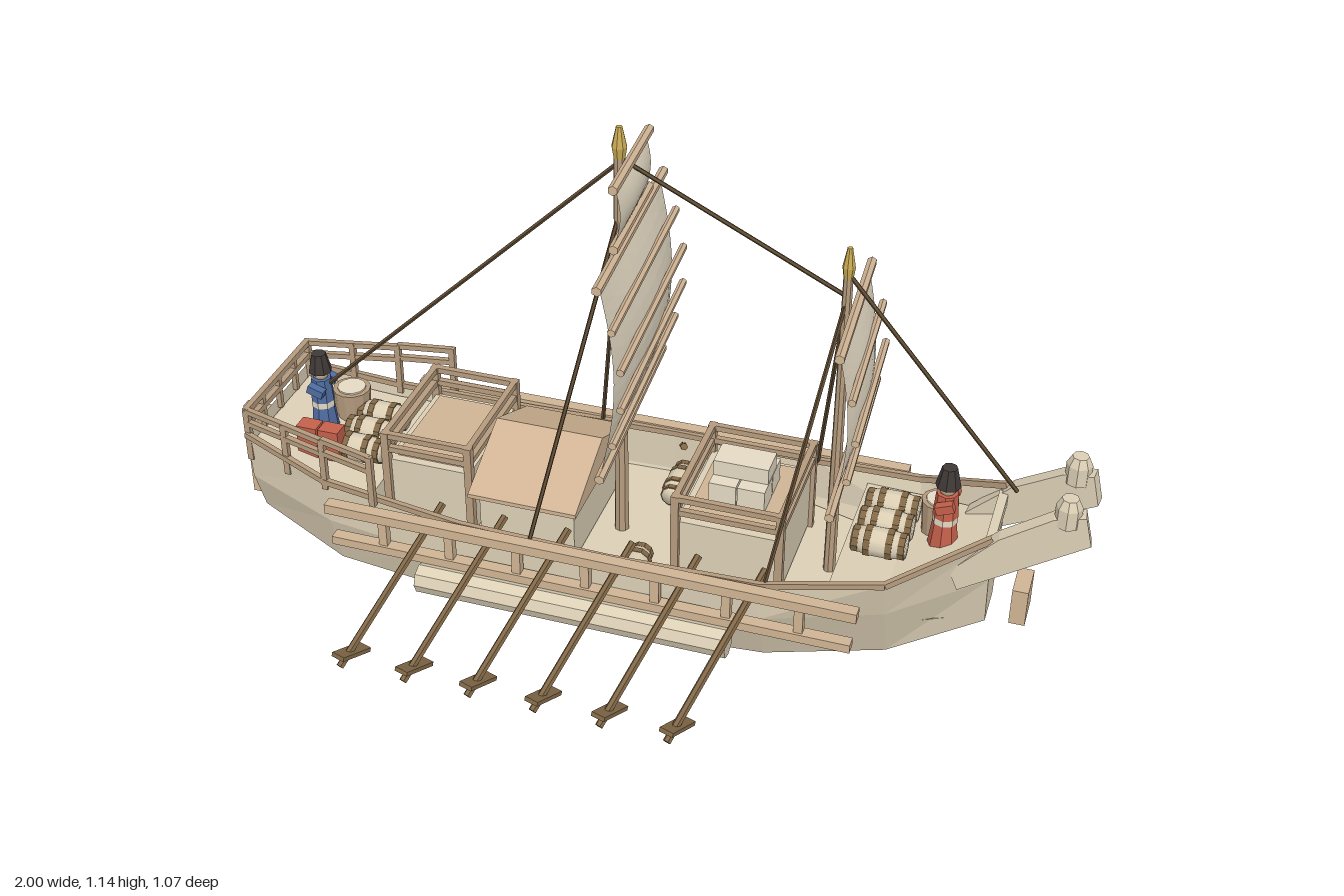
import * as THREE from 'three';

const mat = (name, color, extra = {}) => Object.assign(new THREE.MeshStandardMaterial({ color, ...extra }), { name });

export function createModel() {
  const ship = new THREE.Group();
  ship.name = 'sailingShip';
  const hullWood = mat('paleWood', 0xdccfb5, { side: THREE.DoubleSide });
  const canvas = mat('canvas', 0xe4d9c3, { side: THREE.DoubleSide });
  const tan = mat('tanWood', 0xd0b494);
  const spar = mat('sparWood', 0xb59b7e);
  const oarWood = mat('oarWood', 0x806746);
  const dark = mat('darkRope', 0x5f4b33);
  const gold = mat('gold', 0xcbab55);
  const black = mat('black', 0x3f3937);
  const red = mat('redCloth', 0xc4604a);
  const blue = mat('blueCloth', 0x4f6ca0);

  const V = (x, y, z) => new THREE.Vector3(x, y, z);
  const add = (name, geo, m, x = 0, y = 0, z = 0, parent = ship) => {
    const mesh = new THREE.Mesh(geo, m);
    mesh.name = name;
    mesh.position.set(x, y, z);
    parent.add(mesh);
    return mesh;
  };
  const box = (name, m, x0, x1, y0, y1, z0, z1, parent) =>
    add(name, new THREE.BoxGeometry(x1 - x0, y1 - y0, z1 - z0), m, (x0 + x1) / 2, (y0 + y1) / 2, (z0 + z1) / 2, parent);
  // Square or wide beam from a to b
  const beam = (name, m, a, b, w, h = w, parent) => {
    const mesh = add(name, new THREE.BoxGeometry(w, h, a.distanceTo(b)), m, 0, 0, 0, parent);
    mesh.position.copy(a).add(b).multiplyScalar(0.5);
    mesh.lookAt(b);
    return mesh;
  };
  // Round pole from a to b
  const pole = (name, m, a, b, r0, r1 = r0, sides = 8, parent = ship) => {
    const mesh = add(name, new THREE.CylinderGeometry(r1, r0, a.distanceTo(b), sides).toNonIndexed(), m, 0, 0, 0, parent);
    mesh.geometry.computeVertexNormals();
    mesh.position.copy(a).add(b).multiplyScalar(0.5);
    mesh.quaternion.setFromUnitVectors(V(0, 1, 0), b.clone().sub(a).normalize());
    return mesh;
  };
  // Faceted skin through rows of points
  const loft = (rows) => {
    const p = [];
    for (let i = 0; i + 1 < rows.length; i++)
      for (let j = 0; j + 1 < rows[i].length; j++) {
        const [a, b, c, d] = [rows[i][j], rows[i + 1][j], rows[i + 1][j + 1], rows[i][j + 1]];
        for (const v of [a, b, c, a, c, d]) p.push(v.x, v.y, v.z);
      }
    const g = new THREE.BufferGeometry();
    g.setAttribute('position', new THREE.Float32BufferAttribute(p, 3));
    g.computeVertexNormals();
    return g;
  };

  // Hull stations: x, then y and half width at the bottom, chine and rim
  const stations = [
    [-0.91, 0.07, 0.11, 0.18, 0.15, 0.305, 0.16],
    [-0.69, 0.005, 0.165, 0.14, 0.205, 0.255, 0.21],
    [-0.35, 0, 0.2, 0.13, 0.24, 0.235, 0.24],
    [0, 0, 0.21, 0.13, 0.25, 0.235, 0.25],
    [0.34, 0, 0.18, 0.14, 0.235, 0.238, 0.24],
    [0.6, 0.025, 0.115, 0.17, 0.17, 0.272, 0.2],
    [0.8, 0.11, 0.05, 0.24, 0.075, 0.37, 0.1],
  ];
  const section = (s, side) => [V(s[0], s[1], s[2] * side), V(s[0], s[3], s[4] * side), V(s[0], s[5], s[6] * side)];
  for (const side of [1, -1]) {
    add('hullSide', loft(stations.map((s) => (side > 0 ? section(s, side) : section(s, side).reverse()))), hullWood);
    for (let i = 0; i < 6; i++)
      beam('gunwale', spar, section(stations[i], side)[2], section(stations[i + 1], side)[2], 0.012, 0.014);
  }
  // End walls: y and half width from bottom to top
  const transom = (name, x, dir, rows) => add(name, loft(rows.map(([y, z]) => [V(x, y, z * dir), V(x, y, -z * dir)])), hullWood);
  transom('sternTransom', -0.91, 1, [[0.07, 0.11], [0.18, 0.15], [0.305, 0.16]]);
  transom('bowTransom', 0.8, -1, [[0.11, 0.05], [0.24, 0.075], [0.34, 0.094]]);

  // Low main deck and raised end decks with bulkheads: x, y, half width
  const deck = (name, rows) => add(name, loft(rows.map(([x, y, z]) => [V(x, y, -z), V(x, y, z)])), hullWood);
  deck('mainDeck', [[-0.89, 0.125, 0.128], [-0.69, 0.125, 0.198], [-0.35, 0.125, 0.234], [0, 0.125, 0.245],
    [0.34, 0.125, 0.224], [0.6, 0.125, 0.146], [0.79, 0.125, 0.05]]);
  deck('sternDeck', [[-0.905, 0.275, 0.153], [-0.69, 0.225, 0.202], [-0.59, 0.22, 0.212], [-0.585, 0.125, 0.204]]);
  deck('bowDeck', [[0.47, 0.125, 0.182], [0.475, 0.225, 0.208], [0.6, 0.24, 0.183], [0.795, 0.305, 0.084]]);
  box('bowCrossBeam', hullWood, 0.785, 0.805, 0.33, 0.36, -0.092, 0.092);
  box('rudder', tan, -1, -0.9, 0.02, 0.27, -0.013, 0.013);
  box('bowPlate', tan, 0.85, 0.885, 0.11, 0.2, -0.042, 0.042);

  // Bow horn profile, swept forward and slightly inward
  const horn = new THREE.Shape([[0, 0], [-0.02, 0.048], [0.075, 0.145], [0.18, 0.212], [0.245, 0.225], [0.262, 0.155]]
    .map((p) => new THREE.Vector2(...p)));
  const hornGeo = new THREE.ExtrudeGeometry(horn, { depth: 0.034, bevelEnabled: false }).translate(0, 0, -0.017);
  for (const s of [1, -1]) {
    add('bowHorn', hornGeo, hullWood, 0.738, 0.235, 0.104 * s).rotation.y = 0.12 * s;
    pole('hornKnob', hullWood, V(0.945, 0.43, 0.078 * s), V(0.945, 0.475, 0.078 * s), 0.028, 0.028);
    pole('hornCap', hullWood, V(0.945, 0.475, 0.078 * s), V(0.945, 0.495, 0.078 * s), 0.028, 0.018);
    // Side rails, posts and float
    box('upperRail', tan, -0.66, 0.56, 0.222, 0.246, 0.267 * s - 0.014, 0.267 * s + 0.014);
    box('lowerRail', tan, -0.65, 0.55, 0.136, 0.157, 0.264 * s - 0.014, 0.264 * s + 0.014);
    for (let i = 0; i < 7; i++)
      box('railPost', tan, -0.535 + i * 0.16, -0.515 + i * 0.16, 0.15, 0.23, 0.262 * s - 0.01, 0.262 * s + 0.01);
    pole('sideFloat', hullWood, V(-0.43, 0.108, 0.293 * s), V(0.29, 0.108, 0.293 * s), 0.034);
    // Oars
    for (let i = 0; i < 6; i++) {
      const x = -0.525 + i * 0.15;
      pole('oarShaft', oarWood, V(x + 0.115, 0.243, 0.19 * s), V(x, 0.01, 0.525 * s), 0.009, 0.009, 6);
      beam('oarBlade', oarWood, V(x + 0.025, 0.012, 0.45 * s), V(x, 0.042, 0.53 * s), 0.034, 0.01);
    }
    // Stern side railing
    const a = V(-0.905, 0, 0.155 * s), c = V(-0.69, 0, 0.208 * s), b = V(-0.56, 0, 0.236 * s);
    for (const [p, q, posts] of [[a, c, [0, 0.5]], [c, b, [0, 1]]]) {
      for (const y of [0.335, 0.368])
        beam('sternRail', spar, p.clone().setY(y), q.clone().setY(y - 0.004), 0.013);
      for (const t of posts) {
        const v = p.clone().lerp(q, t);
        box('sternRailPost', spar, v.x - 0.007, v.x + 0.007, 0.235, 0.37, v.z - 0.007, v.z + 0.007);
      }
    }
  }
  for (const y of [0.335, 0.368]) box('sternCrossRail', spar, -0.912, -0.898, y - 0.007, y + 0.007, -0.16, 0.16);
  for (const z of [-0.08, 0, 0.08]) box('sternCrossPost', spar, -0.911, -0.899, 0.28, 0.37, z - 0.006, z + 0.006);

  // Railed deckhouses with a hatch on the roof
  const deckhouse = (x0, x1, top, railTop) => {
    const g = new THREE.Group();
    g.name = 'deckhouse';
    ship.add(g);
    box('houseWalls', hullWood, x0 + 0.008, x1 - 0.008, 0.13, top, -0.14, 0.14, g);
    box('houseHatch', tan, x0 + 0.025, x1 - 0.025, top, top + 0.01, -0.12, 0.12, g);
    for (const y of [railTop - 0.042, railTop - 0.007]) {
      for (const z of [-0.143, 0.143]) box('houseRail', spar, x0, x1, y - 0.007, y + 0.007, z - 0.007, z + 0.007, g);
      for (const x of [x0 + 0.007, x1 - 0.007]) box('houseRail', spar, x - 0.007, x + 0.007, y - 0.007, y + 0.007, -0.15, 0.15, g);
    }
    for (const x of [x0 + 0.007, x1 - 0.007])
      for (const z of [-0.143, 0.143]) box('housePost', spar, x - 0.009, x + 0.009, 0.105, railTop, z - 0.009, z + 0.009, g);
  };
  deckhouse(-0.57, -0.355, 0.3, 0.375);
  deckhouse(0.115, 0.365, 0.285, 0.357);

  // Gabled midship cabin
  box('cabinWalls', hullWood, -0.335, -0.11, 0.13, 0.285, -0.155, 0.155);
  const gable = new THREE.Shape([[-0.185, 0.27], [0.185, 0.27], [0.185, 0.28], [0, 0.365], [-0.185, 0.28]].map((p) => new THREE.Vector2(...p)));
  add('cabinRoof', new THREE.ExtrudeGeometry(gable, { depth: 0.255, bevelEnabled: false }), tan, -0.35).rotation.y = Math.PI / 2;

  // Crates stacked on the fore deckhouse
  for (const x of [0.205, 0.27])
    for (const z of [-0.035, 0.035]) box('crate', canvas, x - 0.031, x + 0.031, 0.29, 0.35, z - 0.033, z + 0.033);
  box('topCrate', canvas, 0.175, 0.3, 0.35, 0.388, -0.035, 0.035);

  // Banded barrels, lying along x or z
  const barrel = (x, y, z, len, r, alongZ) => {
    const g = new THREE.Group();
    g.name = 'barrel';
    g.position.set(x, y, z);
    if (alongZ) g.rotation.y = Math.PI / 2;
    ship.add(g);
    const prof = [[0, -0.5], [0.78, -0.5], [1, -0.17], [1, 0.17], [0.78, 0.5], [0, 0.5]];
    const body = add('barrelBody', new THREE.LatheGeometry(prof.map(([u, v]) => new THREE.Vector2(u * r, v * len)), 10), hullWood, 0, 0, 0, g);
    body.rotation.z = Math.PI / 2;
    for (const [k, w] of [[-0.42, 0.9], [-0.2, 1.04], [0.2, 1.04], [0.42, 0.9]])
      pole('barrelBand', oarWood, V(k * len - 0.007, 0, 0), V(k * len + 0.007, 0, 0), r * w, r * w, 10, g);
  };
  for (const z of [-0.07, 0, 0.07]) {
    barrel(-0.67, 0.26, z, 0.12, 0.034);
    barrel(0.56, 0.282, z, 0.12, 0.034);
  }
  for (const z of [-0.165, 0.165]) barrel(0.035, 0.155, z, 0.12, 0.03, true);
  for (const [x, y, z, r] of [[-0.755, 0.23, -0.08, 0.045], [0.665, 0.25, -0.05, 0.041]]) {
    pole('basket', spar, V(x, y, z), V(x, y + 0.085, z), r * 0.88, r, 12);
    pole('basketFill', canvas, V(x, y + 0.08, z), V(x, y + 0.089, z), r * 0.75, r * 0.75, 12);
  }
  for (const x of [-0.78, -0.725]) box('redChest', red, x - 0.025, x + 0.025, 0.24, 0.32, 0.075, 0.115);

  // Masts, finials and sails
  const mast = (x, top, r) => {
    pole('mast', spar, V(x, 0.11, 0), V(x, top, 0), r, r * 0.75, 8);
    pole('finialBase', gold, V(x, top - 0.01, 0), V(x, top + 0.025, 0), r * 0.65, r, 8);
    pole('finialTip', gold, V(x, top + 0.025, 0), V(x, top + 0.07, 0), r, r * 0.4, 8);
  };
  mast(-0.05, 1.075, 0.017);
  mast(0.44, 0.88, 0.014);
  const sail = (x, y0, y1, half, bars, bulge, overhang) => {
    const g = new THREE.Group();
    g.name = 'sail';
    g.position.x = x;
    g.rotation.y = 0.06;
    ship.add(g);
    const belly = (t, k) => bulge * Math.sin(Math.PI * t) * (1 - 0.4 * k * k);
    const rows = [];
    for (let i = 0; i <= 16; i++) {
      const t = i / 16;
      rows.push([-4, -3, -2, -1, 0, 1, 2, 3, 4].map((k) => V(belly(t, k / 4), y0 + (y1 - y0) * t, (k / 4) * half)));
    }
    add('sailCloth', loft(rows), canvas, 0, 0, 0, g);
    for (let i = 0; i < bars; i++) {
      const t = i / (bars - 1), y = y0 + (y1 - y0) * t, r = i === 0 || i === bars - 1 ? 0.011 : 0.009;
      const bx = belly(t, 0) + 0.003;
      pole('batten', tan, V(bx, y, -half - overhang), V(bx, y, half + overhang), r, r, 6, g);
    }
  };
  sail(-0.027, 0.455, 0.915, 0.245, 6, 0.05, 0.025);
  sail(-0.027, 0.94, 1.075, 0.123, 2, 0.02, 0.022);
  sail(0.458, 0.42, 0.81, 0.18, 5, 0.043, 0.022);

  // Rigging
  const rope = (a, b) => pole('rope', dark, a, b, 0.005, 0.005, 5);
  rope(V(-0.05, 1.065, 0), V(-0.78, 0.365, 0));
  rope(V(-0.05, 1.075, 0), V(0.44, 0.835, 0));
  rope(V(0.44, 0.89, 0), V(0.83, 0.43, 0));
  for (const s of [1, -1]) {
    rope(V(-0.05, 0.95, 0), V(-0.18, 0.24, 0.245 * s));
    rope(V(0.44, 0.83, 0), V(0.35, 0.24, 0.235 * s));
  }

  // Crew in robes
  const sailor = (x, y, cloth) => {
    const g = new THREE.Group();
    g.name = 'sailor';
    g.position.set(x, y, 0);
    ship.add(g);
    pole('skirt', cloth, V(0, 0, 0), V(0, 0.07, 0), 0.034, 0.026, 8, g);
    pole('sash', canvas, V(0, 0.065, 0), V(0, 0.08, 0), 0.028, 0.028, 8, g);
    pole('torso', cloth, V(0, 0.08, 0), V(0, 0.14, 0), 0.028, 0.024, 8, g);
    for (const s of [1, -1]) beam('arm', cloth, V(0, 0.128, 0.015 * s), V(0.005, 0.115, 0.052 * s), 0.02, 0.02, g);
    add('head', new THREE.SphereGeometry(0.02, 8, 6), tan, 0, 0.153, 0, g);
    pole('hatBrim', black, V(0, 0.158, 0), V(0, 0.176, 0), 0.028, 0.024, 8, g);
    pole('hat', black, V(0, 0.176, 0), V(0, 0.205, 0), 0.024, 0.017, 8, g);
  };
  sailor(-0.79, 0.248, blue);
  sailor(0.685, 0.255, red);
  return ship;
}
